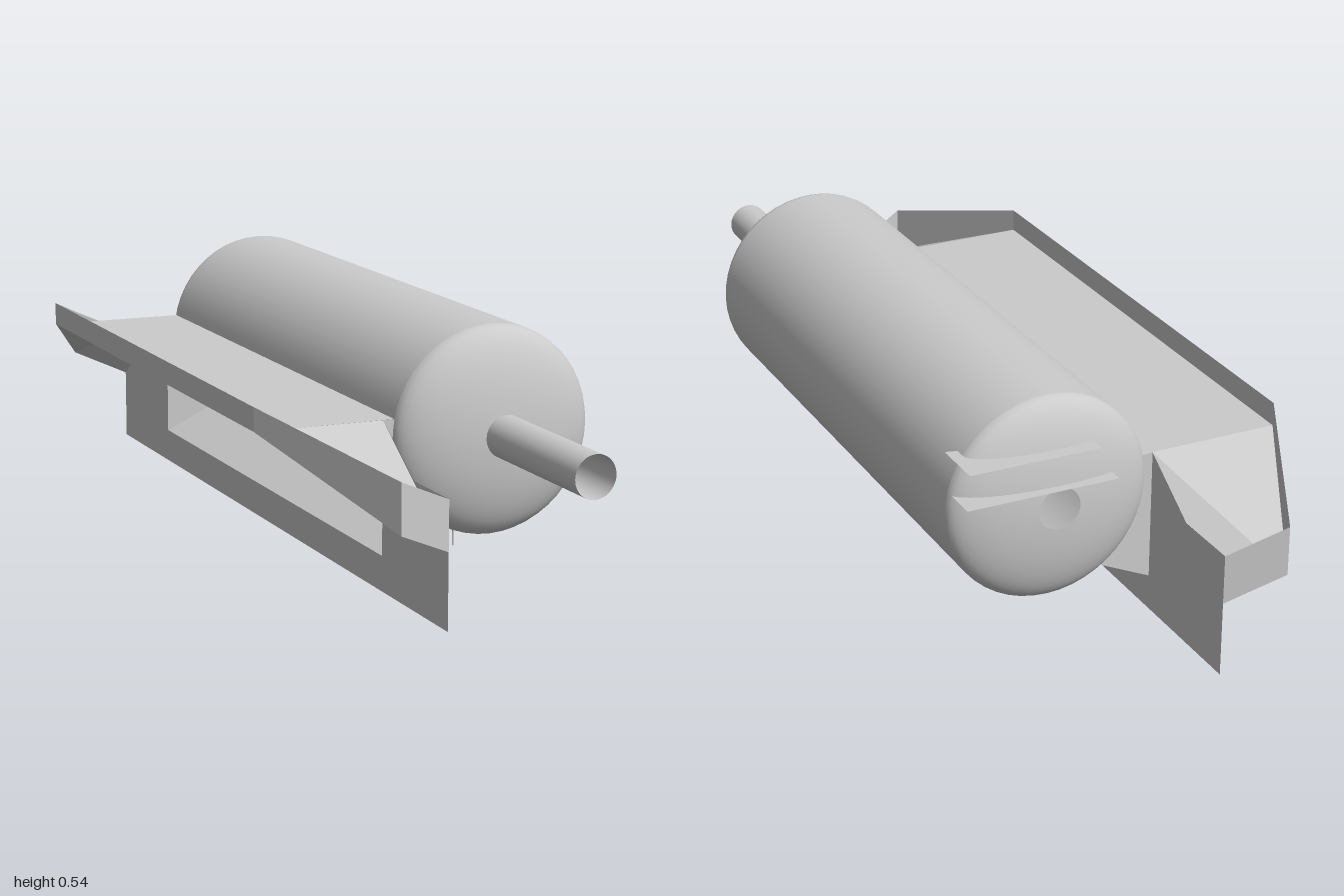
import * as THREE from 'three';

const mat = new THREE.MeshStandardMaterial({ color: 0xcccccc, side: THREE.DoubleSide });

// Tank and cradle dimensions, in a frame whose z runs along the tank
const TANK = { x: 0.142, y: 0.315, r: 0.22, front: 0.556, back: -0.647, bore: 0.045 };
const MID = -0.0435; // the tray is mirrored about this z
const WALL = -0.1;

function add(parent, name, geometry) {
  const mesh = new THREE.Mesh(geometry, mat);
  mesh.name = name;
  parent.add(mesh);
  return mesh;
}

// Flat convex panel from its corner points
function panel(parent, name, corners) {
  const pos = [];
  for (let i = 1; i < corners.length - 1; i++) pos.push(...corners[0], ...corners[i], ...corners[i + 1]);
  const g = new THREE.BufferGeometry();
  g.setAttribute('position', new THREE.Float32BufferAttribute(pos, 3));
  g.computeVertexNormals();
  return add(parent, name, g);
}

// Surface turned about the tank axis; profile is [radius, z] pairs
function turned(parent, name, profile) {
  const g = new THREE.LatheGeometry(profile.map(([r, z]) => new THREE.Vector2(r, z)), 48);
  g.rotateX(Math.PI / 2);
  const mesh = add(parent, name, g);
  mesh.position.set(TANK.x, TANK.y, 0);
  return mesh;
}

function buildTank() {
  const tank = new THREE.Group();
  tank.name = 'tank';
  turned(tank, 'tankShell', [[TANK.r, TANK.back], [TANK.r, TANK.front]]);

  // Domed ends, each with a round opening
  const dome = (z, depth) => {
    const a0 = Math.acos(TANK.bore / TANK.r);
    return Array.from({ length: 13 }, (_, i) => {
      const a = (a0 * i) / 12;
      return [TANK.r * Math.cos(a), z + depth * Math.sin(a)];
    });
  };
  turned(tank, 'frontDome', dome(TANK.front, 0.075));
  turned(tank, 'backDome', dome(TANK.back, -0.066).reverse());
  turned(tank, 'pipe', [[TANK.bore, 0.615], [TANK.bore, 0.988]]);

  // Thin blades on the back dome
  for (const [y, x0, x1] of [[0.365, -0.12, 0.21], [0.44, -0.08, 0.205]]) {
    const z0 = TANK.back + 0.02, z1 = TANK.back - 0.085;
    panel(tank, 'backBlade', [
      [TANK.x + x0, y, z1], [TANK.x + x1, y, z1], [TANK.x + x1, y, z0 + 0.01], [TANK.x + x0, y, z0 - 0.06],
    ]);
  }
  return tank;
}

function buildTray() {
  const tray = new THREE.Group();
  tray.name = 'tray';
  const inner = 0.6015, end = 0.8965, tip = 0.9345;
  const at = (s) => (x, y, d) => [x, y, MID + s * d];
  const f = at(1), b = at(-1);

  // Long panels
  panel(tray, 'trayFloor', [f(-0.38, 0.36, inner), f(-0.075, 0.357, inner), b(-0.075, 0.357, inner), b(-0.38, 0.36, inner)]);
  panel(tray, 'outerRim', [f(-0.38, 0.36, inner), f(-0.38, 0.41, inner), b(-0.38, 0.41, inner), b(-0.38, 0.36, inner)]);
  panel(tray, 'wallSill', [f(WALL, 0, inner), f(WALL, 0.075, inner), b(WALL, 0.075, inner), b(WALL, 0, inner)]);
  panel(tray, 'cradleFloor', [f(WALL, 0.075, inner), f(0.022, 0.131, inner), b(0.022, 0.131, inner), b(WALL, 0.075, inner)]);

  // Mirrored ends
  for (const p of [f, b]) {
    panel(tray, 'floorSlope', [p(-0.38, 0.36, inner), p(-0.22, 0.215, tip), p(WALL, 0.357, inner)]);
    panel(tray, 'floorCorner', [p(-0.22, 0.215, tip), p(WALL, 0.16, end), p(WALL, 0.357, inner)]);
    panel(tray, 'cornerRim', [p(-0.38, 0.36, inner), p(-0.38, 0.41, inner), p(-0.22, 0.32, tip), p(-0.22, 0.215, tip)]);
    panel(tray, 'endRim', [p(-0.22, 0.215, tip), p(-0.22, 0.32, tip), p(WALL, 0.265, end), p(WALL, 0.16, end)]);
    panel(tray, 'wallEnd', [
      p(WALL, 0, inner), p(WALL, 0, end), p(WALL, 0.265, end), p(WALL, 0.265, 0.745), p(WALL, 0.357, inner),
    ]);
  }

  // End plates filling the gap between wall and tank
  const plate = new THREE.Shape();
  plate.moveTo(WALL, 0.075);
  plate.lineTo(0.022, 0.131);
  plate.absarc(TANK.x, TANK.y, TANK.r, Math.PI * 1.316, Math.PI * 0.94, true);
  plate.lineTo(WALL, 0.357);
  for (const s of [1, -1]) {
    add(tray, 'cradleEnd', new THREE.ShapeGeometry(plate, 16)).position.z = MID + s * inner;
  }

  // Row of small pins under the tank
  const pin = new THREE.BoxGeometry(0.003, 0.04, 0.003);
  for (let i = 0; i < 18; i++) {
    add(tray, 'pin', pin).position.set(0.075, 0.09, 0.53 - i * 0.066);
  }
  return tray;
}

export function createModel() {
  const model = new THREE.Group();
  model.name = 'tankWithTray';
  model.add(buildTank(), buildTray());
  // The whole assembly sits slightly turned
  model.rotation.y = -0.1457;
  return model;
}
